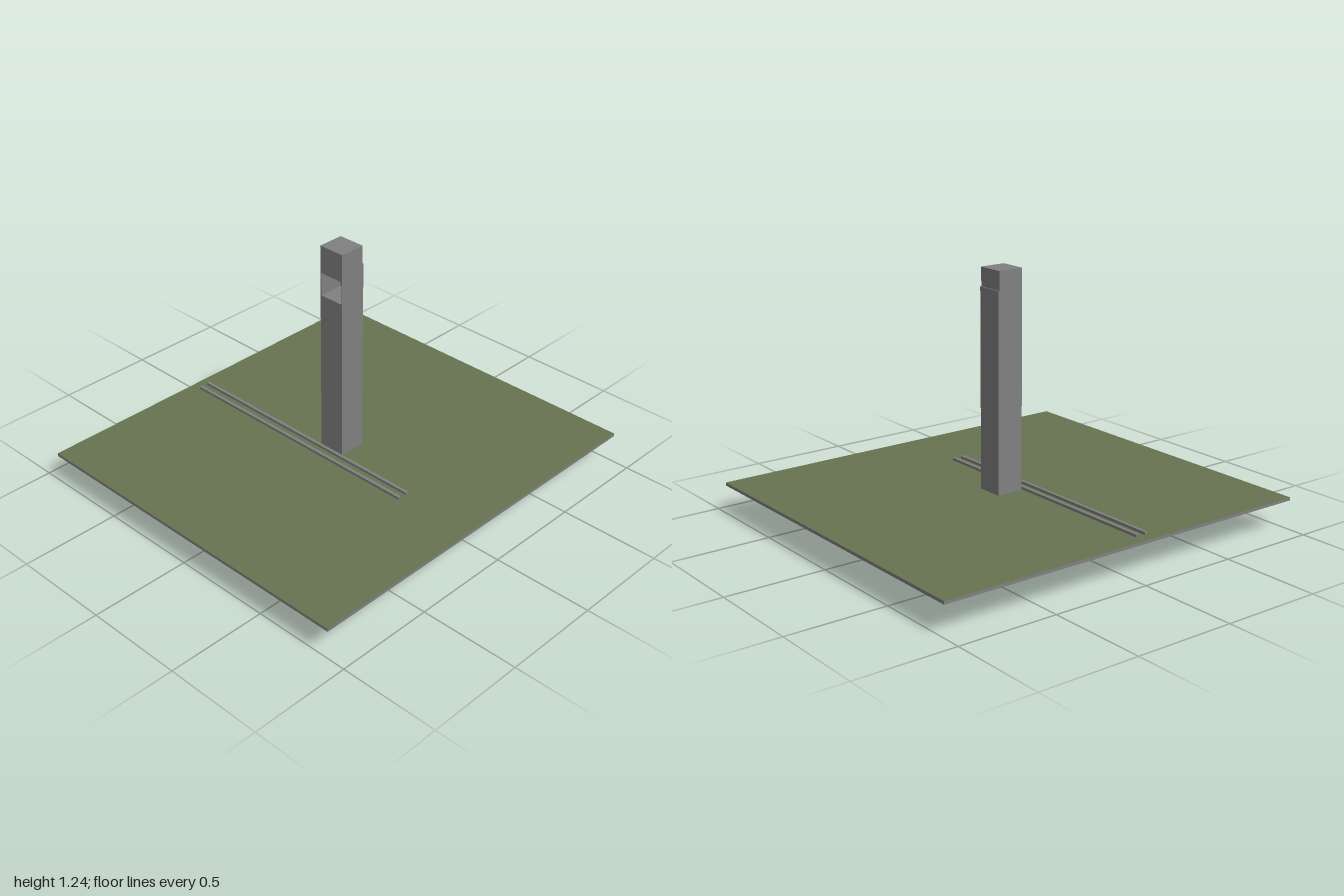
import * as THREE from 'three';

export function createModel() {
  const model = new THREE.Group();
  const concrete = new THREE.MeshStandardMaterial({ name: 'concrete grey', color: 0x808080 });
  const grass = new THREE.MeshStandardMaterial({ name: 'grass green', color: 0x66734f });

  // Box given by its lower and upper corners
  function box(name, [x0, y0, z0], [x1, y1, z1], material = concrete, parent = model) {
    const mesh = new THREE.Mesh(new THREE.BoxGeometry(x1 - x0, y1 - y0, z1 - z0), material);
    mesh.position.set((x0 + x1) / 2, (y0 + y1) / 2, (z0 + z1) / 2);
    mesh.name = name;
    parent.add(mesh);
    return mesh;
  }

  // Ground slab: grey sides and underside, green top
  box('groundSlab', [-1, 0.145, -0.908], [1, 0.16, 0.908],
    [concrete, concrete, grass, concrete, concrete, concrete]);

  // Pair of rails beside the tower
  for (const x of [-0.131, -0.08]) {
    box('rail', [x - 0.008, 0.16, -0.855], [x + 0.008, 0.173, 0.517]);
  }

  // Tower shaft with an opening near the top of its right side
  const tower = new THREE.Group();
  tower.name = 'tower';
  model.add(tower);
  const [x0, x1, z0, z1] = [-0.064, 0.068, -0.053, 0.084];
  const [sill, lintel] = [0.985, 1.1];
  const wall = 0.005;
  box('shaft', [x0, 0, z0], [x1, sill, z1], concrete, tower);
  box('towerHead', [x0, lintel, z0], [x1, 1.237, z1], concrete, tower);
  box('openingBackWall', [x0, sill, z0], [x1, lintel, z0 + wall], concrete, tower);
  box('openingFrontWall', [x0, sill, z1 - wall], [x1, lintel, z1], concrete, tower);
  box('openingFarWall', [x1 - wall, sill, z0 + wall], [x1, lintel, z1 - wall], concrete, tower);

  // Thin cladding on the left side, ending below the head
  box('sideCladding', [x1, 0, z0], [x1 + 0.006, 1.145, z1], concrete, tower);

  // Underground tunnel running forward from the foot of the shaft
  box('tunnel', [-0.06, 0.004, z1], [0.072, 0.127, 0.718]);
  box('tunnelEnd', [-0.056, 0.014, 0.718], [0.068, 0.12, 0.722]);

  return model;
}
